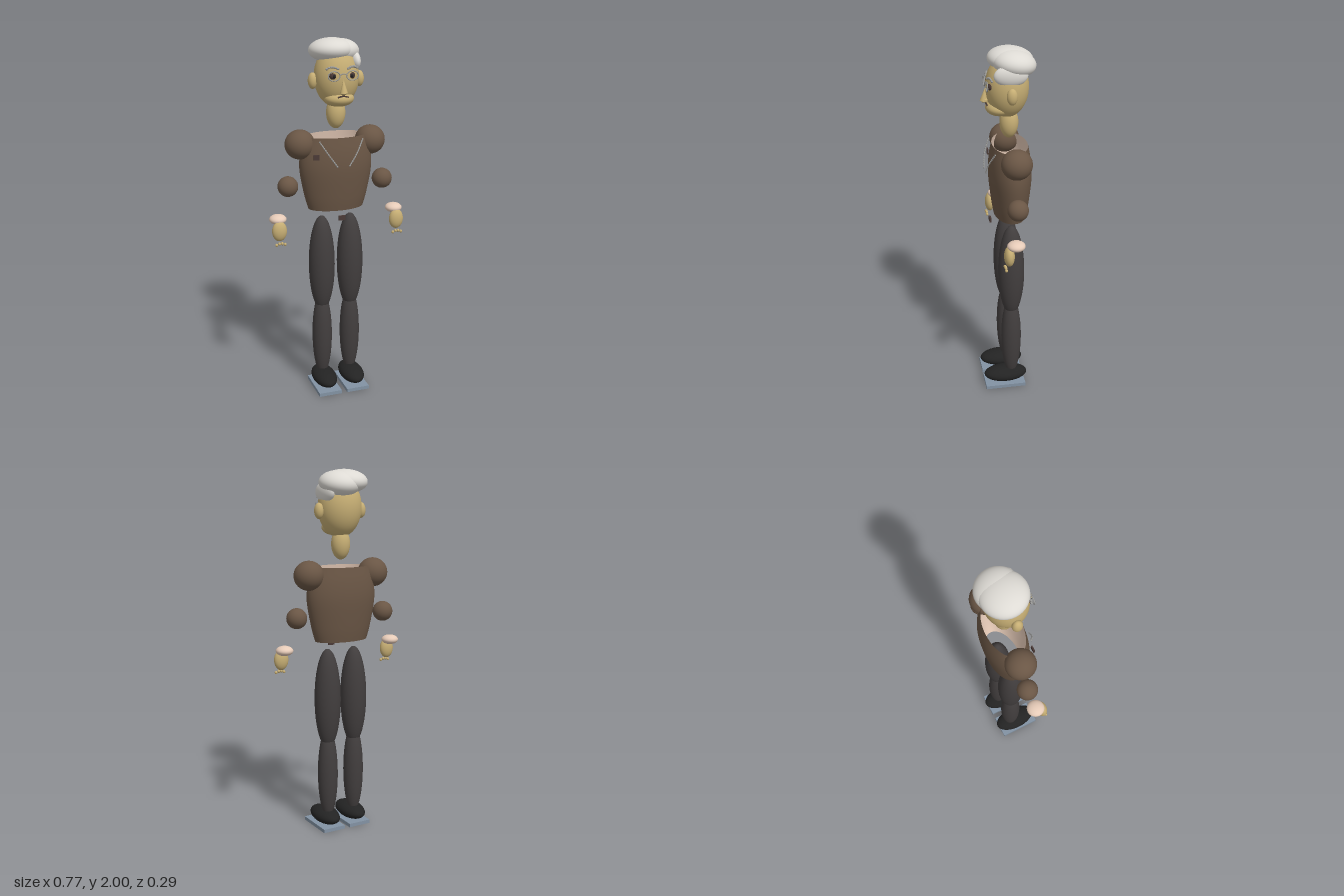
import * as THREE from 'three';

const mat = (name, color, side = THREE.FrontSide) => {
  const m = new THREE.MeshStandardMaterial({ color, side });
  m.name = name;
  return m;
};

export function createModel() {
  const skin = mat('skin', 0xc6ae74);
  const hair = mat('hair', 0xdddad4);
  const jacket = mat('jacket', 0x6a5645);
  const shirt = mat('shirt', 0xe6cbb8);
  const lining = mat('lining', 0xe6cbb8, THREE.BackSide);
  const trousers = mat('trousers', 0x423e3e);
  const leather = mat('leather', 0x232323);
  const sole = mat('sole', 0x8292a3);
  const metal = mat('metal', 0x9a9a98);
  const dark = mat('dark', 0x4a3a36);

  const group = new THREE.Group();
  const add = (name, geometry, material, pos = [0, 0, 0]) => {
    const mesh = new THREE.Mesh(geometry, material);
    mesh.name = name;
    mesh.position.set(...pos);
    group.add(mesh);
    return mesh;
  };
  // Ellipsoid from centre and radii
  const ball = (name, material, pos, r, seg = 32) =>
    add(name, new THREE.SphereGeometry(1, seg, seg * 0.75).scale(...r), material, pos);
  const box = (name, material, pos, size) => add(name, new THREE.BoxGeometry(...size), material, pos);
  const tube = (name, material, pts, r) => add(name, new THREE.TubeGeometry(
    new THREE.CatmullRomCurve3(pts.map(p => new THREE.Vector3(...p))), 16, r, 6), material);

  // Head and neck
  ball('head', skin, [0, 1.8, 0], [0.12, 0.162, 0.113], 40);
  ball('jaw', skin, [0, 1.69, 0.042], [0.08, 0.043, 0.072]);
  ball('neck', skin, [0, 1.605, -0.01], [0.052, 0.085, 0.05]);

  // Swept hair in two overlapping masses, with one side lock
  ball('hairTop', hair, [-0.022, 1.936, -0.02], [0.121, 0.064, 0.12], 40).rotation.x = -0.08;
  ball('hairBack', hair, [0.02, 1.925, -0.033], [0.111, 0.068, 0.114], 40).rotation.x = -0.15;
  ball('sideHair', hair, [0.092, 1.88, -0.005], [0.033, 0.056, 0.088]);

  // Nose and mouth
  const nose = add('nose', new THREE.ConeGeometry(0.021, 0.075, 16), skin, [0, 1.765, 0.117]);
  nose.rotation.x = -0.12;
  ball('noseTip', skin, [0, 1.733, 0.118], [0.02, 0.015, 0.02], 16);
  tube('mouth', dark, [[-0.03, 1.705, 0.107], [0, 1.711, 0.108], [0.03, 1.705, 0.107]], 0.004);

  // Glasses bridge and waist and chest details
  tube('glassesBridge', metal, [[-0.02, 1.822, 0.113], [0, 1.828, 0.115], [0.02, 1.822, 0.113]], 0.003);
  box('buckle', dark, [0, 1.045, 0.094], [0.038, 0.026, 0.01]);
  box('chestBadge', dark, [-0.14, 1.39, 0.084], [0.03, 0.028, 0.008]);

  // Open, tapering torso
  const profile = new THREE.SplineCurve([[0.155, 1.08], [0.178, 1.16], [0.203, 1.3], [0.196, 1.4], [0.17, 1.485]]
    .map(p => new THREE.Vector2(...p))).getPoints(20);
  const torso = new THREE.LatheGeometry(profile, 48).scale(1, 1, 0.56);
  add('torso', torso, jacket, [0, 0, -0.014]);
  add('torsoLining', torso.clone().scale(0.99, 1, 0.99), lining, [0, 0, -0.014]);

  for (const s of [-1, 1]) {
    const side = s > 0 ? 'left' : 'right';

    // Ear, eye, spectacle rim
    ball(side + 'Ear', skin, [s * 0.13, 1.782, -0.005], [0.025, 0.043, 0.028], 20);
    ball(side + 'Eye', dark, [s * 0.049, 1.815, 0.088], [0.022, 0.02, 0.022], 16);
    ball(side + 'Pupil', leather, [s * 0.049, 1.815, 0.105], [0.009, 0.009, 0.007], 12);
    add(side + 'GlassesRim', new THREE.TorusGeometry(0.029, 0.003, 8, 32).scale(1.1, 0.85, 1), metal,
      [s * 0.05, 1.817, 0.112]);

    // Tufted eyebrow
    for (let i = 0; i < 6; i++) {
      const x = 0.028 + i * 0.011;
      ball(side + 'Eyebrow', metal,
        [s * x, 1.853 + 0.009 * Math.sin(i / 5 * Math.PI), 0.106 - i * 0.003], [0.008, 0.006, 0.006], 10);
    }

    // Beaded lapel cord
    const cord = [[s * 0.12, 1.47, 0.082], [s * 0.08, 1.405, 0.11], [s * 0.035, 1.34, 0.12]];
    tube(side + 'LapelCord', metal, cord, 0.003);
    const curve = new THREE.CatmullRomCurve3(cord.map(p => new THREE.Vector3(...p)));
    for (let i = 0; i < 13; i++) {
      ball(side + 'LapelBead', metal, curve.getPoint(i / 12).toArray(), [0.005, 0.005, 0.004], 8);
    }

    // Arm
    ball(side + 'Shoulder', jacket, [s * 0.2, 1.443, -0.018], [0.082, 0.08, 0.082]);
    ball(side + 'Elbow', jacket, [s * 0.272, 1.218, -0.012], [0.056, 0.056, 0.056]);
    ball(side + 'Cuff', shirt, [s * 0.337, 1.046, 0.008], [0.047, 0.027, 0.048]);
    ball(side + 'Hand', skin, [s * 0.339, 0.99, 0.045], [0.041, 0.056, 0.028]);
    for (let i = 0; i < 4; i++) {
      const x = -0.024 + i * 0.016;
      ball(side + 'Finger', skin, [s * (0.338 + x), 0.927 - Math.abs(x) * 0.35, 0.064], [0.008, 0.009, 0.008], 10);
    }

    // Leg, shoe and sole
    ball(side + 'Thigh', trousers, [s * 0.083, 0.752, -0.01], [0.073, 0.283, 0.073]);
    ball(side + 'Shin', trousers, [s * 0.083, 0.32, -0.01], [0.056, 0.262, 0.057]);
    ball(side + 'Shoe', leather, [s * 0.083, 0.064, 0.023], [0.067, 0.045, 0.125]);
    box(side + 'Sole', sole, [s * 0.083, 0.01, 0.03], [0.133, 0.02, 0.232]);
  }
  return group;
}
